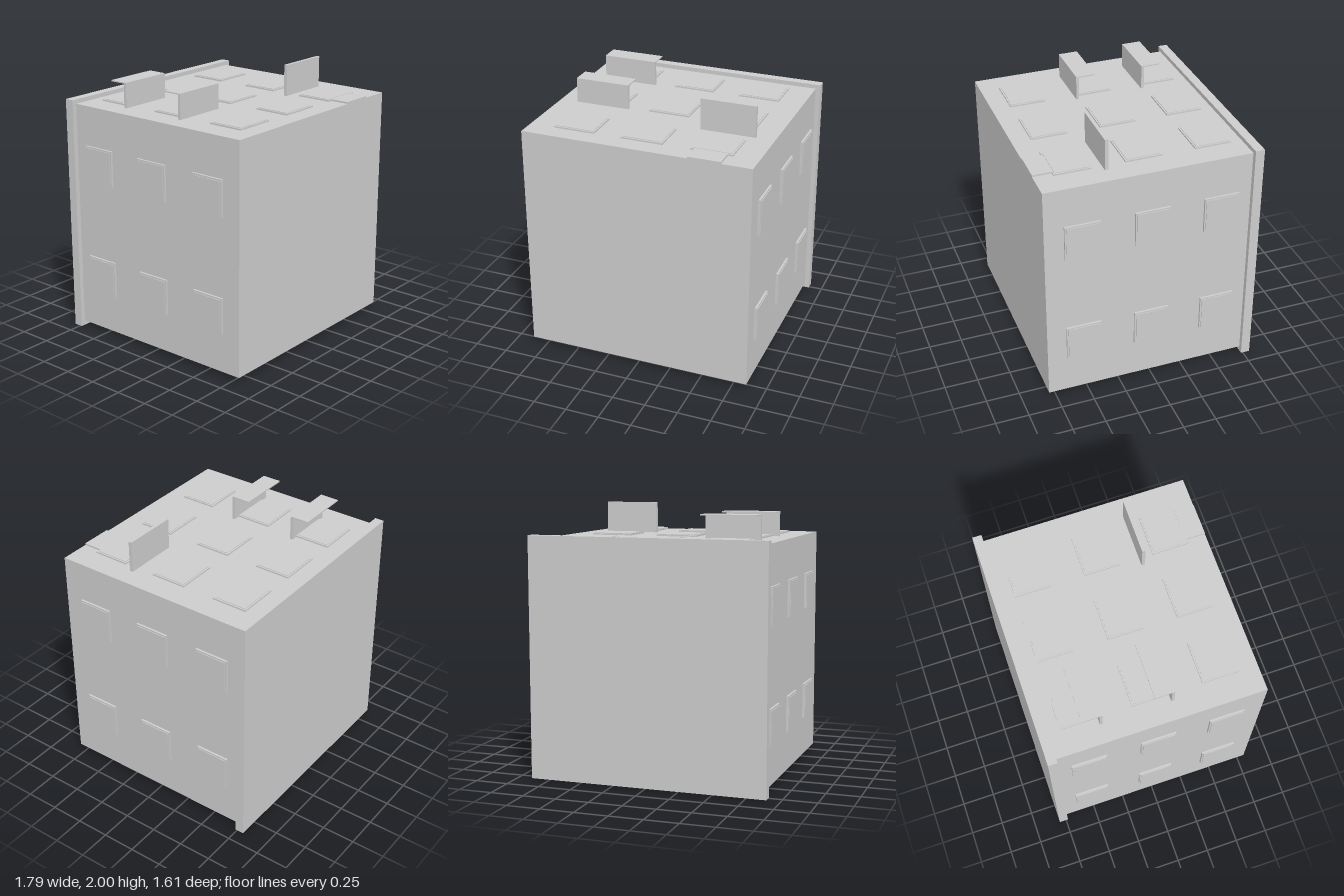
import * as THREE from 'three';

export function createModel() {
  const group = new THREE.Group();
  const plaster = new THREE.MeshStandardMaterial({ color: 0xcccccc });
  plaster.name = 'light grey';

  // Box given by its extents along each axis
  function box(name, [x0, x1], [y0, y1], [z0, z1]) {
    const mesh = new THREE.Mesh(new THREE.BoxGeometry(x1 - x0, y1 - y0, z1 - z0), plaster);
    mesh.position.set((x0 + x1) / 2, (y0 + y1) / 2, (z0 + z1) / 2);
    mesh.name = name;
    group.add(mesh);
  }
  const span = (centre, size) => [centre - size / 2, centre + size / 2];

  const W = 0.86, TOP = 1.765;

  // Main block and the overhanging roof slab at its back
  box('block', [-W, W], [0.037, TOP], [-0.735, 0.802]);
  box('roofSlab', [-0.896, 0.896], [0, 1.797], [-0.804, -0.735]);

  const rows = [-0.512, 0.008, 0.525];

  // Facade windows: a frame with a slightly raised pane
  for (const z of rows) {
    for (const x of [-0.517, 0, 0.517]) {
      box('windowFrame', span(x, 0.313), [TOP - 0.01, 1.776], span(z, 0.272));
      box('windowPane', span(x, 0.289), [1.775, 1.78], span(z, 0.248));
    }
  }

  // Side windows, mirrored on both walls
  for (const side of [-1, 1]) {
    const out = (a, b) => (side > 0 ? [a, b] : [-b, -a]);
    for (const z of [-0.508, 0.01, 0.527]) {
      for (const y of [0.467, 1.331]) {
        box('sideWindowFrame', out(W - 0.01, 0.876), span(y, 0.272), span(z, 0.262));
        box('sideWindowPane', out(0.875, 0.881), span(y, 0.248), span(z, 0.238));
      }
    }
  }

  // Entrance door and its canopy
  box('door', [0.395, 0.636], [TOP - 0.01, 1.778], [0.65, 0.802]);
  box('canopy', [0.307, 0.72], [TOP - 0.01, 2], [0.286, 0.311]);

  // Balconies: floor slab with a thin parapet
  for (const z of [-0.356, 0.163]) {
    box('balconyFloor', [-0.724, -0.311], [TOP - 0.01, 1.952], [z - 0.021, z]);
    box('balconyParapet', [-0.724, -0.311], [1.943, 1.952], [z - 0.146, z - 0.02]);
  }

  return group;
}
